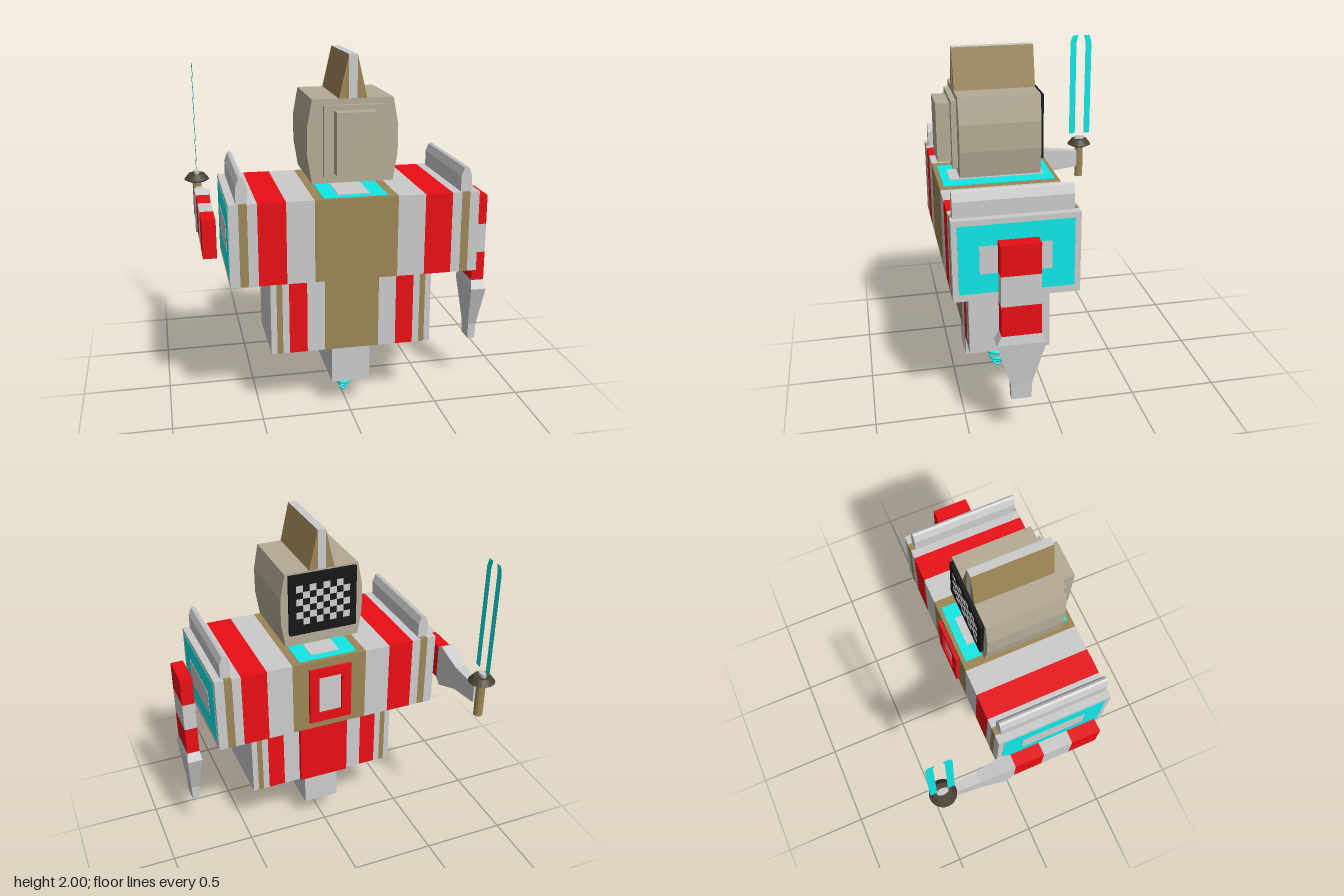
import * as THREE from 'three';

const mat = (color) => new THREE.MeshStandardMaterial({ color, flatShading: true, side: THREE.DoubleSide });
const GREY = mat(0xcccccc), RED = mat(0xe90e14), BROWN = mat(0x9d8656), CYAN = mat(0x10e8e6);
const BEIGE = mat(0xb4ab95), BLACK = mat(0x171717), DARK = mat(0x4a4033);
const CX = 0.014; // centre line of the body

function add(parent, name, geometry, material) {
  const mesh = new THREE.Mesh(geometry, material);
  mesh.name = name;
  parent.add(mesh);
  return mesh;
}

// Box given by its limits on each axis
function box(parent, name, material, [x0, x1], [y0, y1], [z0, z1]) {
  const mesh = add(parent, name, new THREE.BoxGeometry(x1 - x0, y1 - y0, z1 - z0), material);
  mesh.position.set((x0 + x1) / 2, (y0 + y1) / 2, (z0 + z1) / 2);
  return mesh;
}

// Outline in x, y extruded along z
function prism(parent, name, material, points, z0, z1) {
  const shape = new THREE.Shape(points.map(([x, y]) => new THREE.Vector2(x, y)));
  const geometry = new THREE.ExtrudeGeometry(shape, { depth: z1 - z0, bevelEnabled: false });
  geometry.translate(0, 0, z0);
  return add(parent, name, geometry, material);
}

// Mirrored colour bands side by side; edges run outward from the centre
function stripedBlock(parent, name, edges, y, z) {
  const group = new THREE.Group();
  group.name = name;
  const colors = [BROWN, GREY, RED, GREY, BROWN, GREY];
  box(group, 'centreBand', colors[0], [CX - edges[0], CX + edges[0]], y, z);
  for (let i = 1; i < edges.length; i++) {
    box(group, 'band', colors[i], [CX + edges[i - 1], CX + edges[i]], y, z);
    box(group, 'band', colors[i], [CX - edges[i], CX - edges[i - 1]], y, z);
  }
  parent.add(group);
}

// Rectangular sections [y, halfX, halfZ] joined from bottom to top
function loft(sections) {
  const n = sections.length - 1;
  const geometry = new THREE.BoxGeometry(1, 1, 1, 1, n, 1);
  const p = geometry.attributes.position;
  for (let i = 0; i < p.count; i++) {
    const [y, hx, hz] = sections[Math.round((p.getY(i) + 0.5) * n)];
    p.setXYZ(i, Math.sign(p.getX(i)) * hx, y, Math.sign(p.getZ(i)) * hz);
  }
  geometry.computeVertexNormals();
  return geometry;
}

// Arm hanging down from its own origin
function arm(parent, name, kink) {
  const group = new THREE.Group();
  group.name = name;
  [RED, GREY, RED].forEach((m, i) =>
    box(group, 'sleeveBand', m, [-0.037, 0.037], [-0.17 * (i + 1), -0.17 * i], [-0.105, 0.105]));
  add(group, 'forearm', loft([
    [-0.905, 0.021, 0.054], kink, [-0.56, 0.045, 0.132], [-0.51, 0.037, 0.105],
  ]), GREY);
  parent.add(group);
  return group;
}

export function createModel() {
  const model = new THREE.Group();
  model.name = 'robot';

  // Body
  stripedBlock(model, 'chest', [0.225, 0.375, 0.525, 0.577, 0.622, 0.675], [0.82, 1.27], [-0.112, 0.56]);
  stripedBlock(model, 'waist', [0.152, 0.251, 0.351, 0.388, 0.42, 0.453], [0.37, 0.82], [0, 0.455]);
  box(model, 'hips', GREY, [CX - 0.108, CX + 0.108], [0.155, 0.37], [0.025, 0.435]);
  box(model, 'hipVent', CYAN, [CX - 0.075, CX + 0.075], [0.152, 0.16], [0.065, 0.395]);

  // Neck and shoulder inlays
  box(model, 'neckInlay', CYAN, [CX - 0.175, CX + 0.175], [1.26, 1.273], [-0.09, 0.535]);
  box(model, 'neckInlayCentre', GREY, [CX - 0.087, CX + 0.087], [1.26, 1.276], [-0.045, 0.49]);
  for (const s of [-1, 1]) {
    const range = (a, b) => [CX + s * a, CX + s * b].sort((p, q) => p - q);
    box(model, 'shoulderInlay', CYAN, range(0.67, 0.677), [0.86, 1.24], [-0.08, 0.53]);
    box(model, 'shoulderInlayCentre', GREY, range(0.67, 0.679), [0.97, 1.125], [0.04, 0.42]);
    const x = CX + s * 0.603;
    prism(model, 'shoulderRidge', GREY, [
      [x - 0.03, 1.27], [x + 0.03, 1.27], [x + 0.03, 1.355], [x + 0.013, 1.4],
      [x, 1.407], [x - 0.013, 1.4], [x - 0.03, 1.355],
    ], -0.085, 0.545);
  }

  // Back panels
  box(model, 'waistBackPanel', RED, [CX - 0.152, CX + 0.152], [0.38, 0.81], [-0.025, 0]);
  const frame = new THREE.Shape([[-0.128, 0.87], [0.128, 0.87], [0.128, 1.22], [-0.128, 1.22]]
    .map(([x, y]) => new THREE.Vector2(CX + x, y)));
  frame.holes.push(new THREE.Path([[-0.07, 0.925], [-0.07, 1.165], [0.07, 1.165], [0.07, 0.925]]
    .map(([x, y]) => new THREE.Vector2(CX + x, y))));
  add(model, 'chestBackFrame', new THREE.ExtrudeGeometry(frame, { depth: 0.02, bevelEnabled: false }), RED)
    .position.z = -0.131;
  box(model, 'chestBackWindow', GREY, [CX - 0.07, CX + 0.07], [0.925, 1.165], [-0.116, -0.1]);

  // Head with stepped face plate
  prism(model, 'head', BEIGE, [
    [CX - 0.22, 1.33], [CX + 0.22, 1.33], [CX + 0.244, 1.48], [CX + 0.244, 1.63],
    [CX + 0.217, 1.775], [CX - 0.217, 1.775], [CX - 0.244, 1.63], [CX - 0.244, 1.48],
  ], 0.003, 0.45);
  box(model, 'facePlate', BEIGE, [CX - 0.16, CX + 0.16], [1.365, 1.745], [0.45, 0.48]);
  box(model, 'faceBlock', BEIGE, [CX - 0.107, CX + 0.107], [1.39, 1.72], [0.48, 0.556]);

  // Crest
  box(model, 'crestCore', GREY, [CX - 0.023, CX + 0.023], [1.775, 2], [0.003, 0.45]);
  for (const s of [-1, 1]) {
    const side = [[CX + s * 0.023, 1.775], [CX + s * 0.075, 1.775], [CX + s * 0.023, 2]];
    prism(model, 'crestSide', BROWN, side, 0.003, 0.45);
  }

  // Checkered panel on the back of the head
  box(model, 'headBackPanel', BLACK, [CX - 0.2, CX + 0.2], [1.405, 1.765], [-0.018, 0.003]);
  for (let row = 0; row < 6; row++) {
    for (let col = row % 2; col < 8; col += 2) {
      const x = CX - 0.16 + col * 0.04, y = 1.465 + row * 0.04;
      box(model, 'checker', GREY, [x, x + 0.04], [y, y + 0.04], [-0.02, -0.015]);
    }
  }

  // Arms: left hangs down, right reaches backward
  arm(model, 'leftArm', [-0.81, 0.024, 0.057]).position.set(0.79, 1.18, 0.23);
  const right = arm(model, 'rightArm', [-0.715, 0.033, 0.073]);
  right.rotation.x = Math.PI / 2;
  right.position.set(-0.753, 1.055, 0.445);

  // Two-pronged blade held upright in the right hand
  const sword = new THREE.Group();
  sword.name = 'sword';
  sword.position.set(-0.762, 0, -0.483);
  model.add(sword);
  add(sword, 'handle', new THREE.CylinderGeometry(0.027, 0.027, 0.22, 16), BROWN).position.y = 1.035;
  const guard = [[0, 1.14], [0.055, 1.14], [0.077, 1.152], [0.05, 1.187], [0, 1.187]];
  add(sword, 'guard', new THREE.LatheGeometry(guard.map(([r, y]) => new THREE.Vector2(r, y)), 24), DARK);
  const collar = add(sword, 'collar', new THREE.CylinderGeometry(0.034, 0.034, 0.025, 16), GREY);
  collar.position.y = 1.193;
  collar.scale.x = 0.5;
  for (const s of [-1, 1]) {
    const prong = new THREE.Shape([
      [0.03, 1.225], [0.07, 1.225], [0.07, 1.835], [0.055, 1.88], [0.018, 1.88], [0.03, 1.835],
    ].map(([u, y]) => new THREE.Vector2(s * u, y)));
    add(sword, 'prong', new THREE.ShapeGeometry(prong).rotateY(Math.PI / 2), CYAN);
  }

  // Hover rings below the hips
  for (const [y, r, t] of [[0.111, 0.061, 0.013], [0.055, 0.038, 0.01], [0.006, 0.018, 0.006]]) {
    const ring = add(model, 'hoverRing', new THREE.TorusGeometry(r, t, 10, 28), CYAN);
    ring.rotation.x = Math.PI / 2;
    ring.position.set(CX, y, 0.23);
  }
  return model;
}
